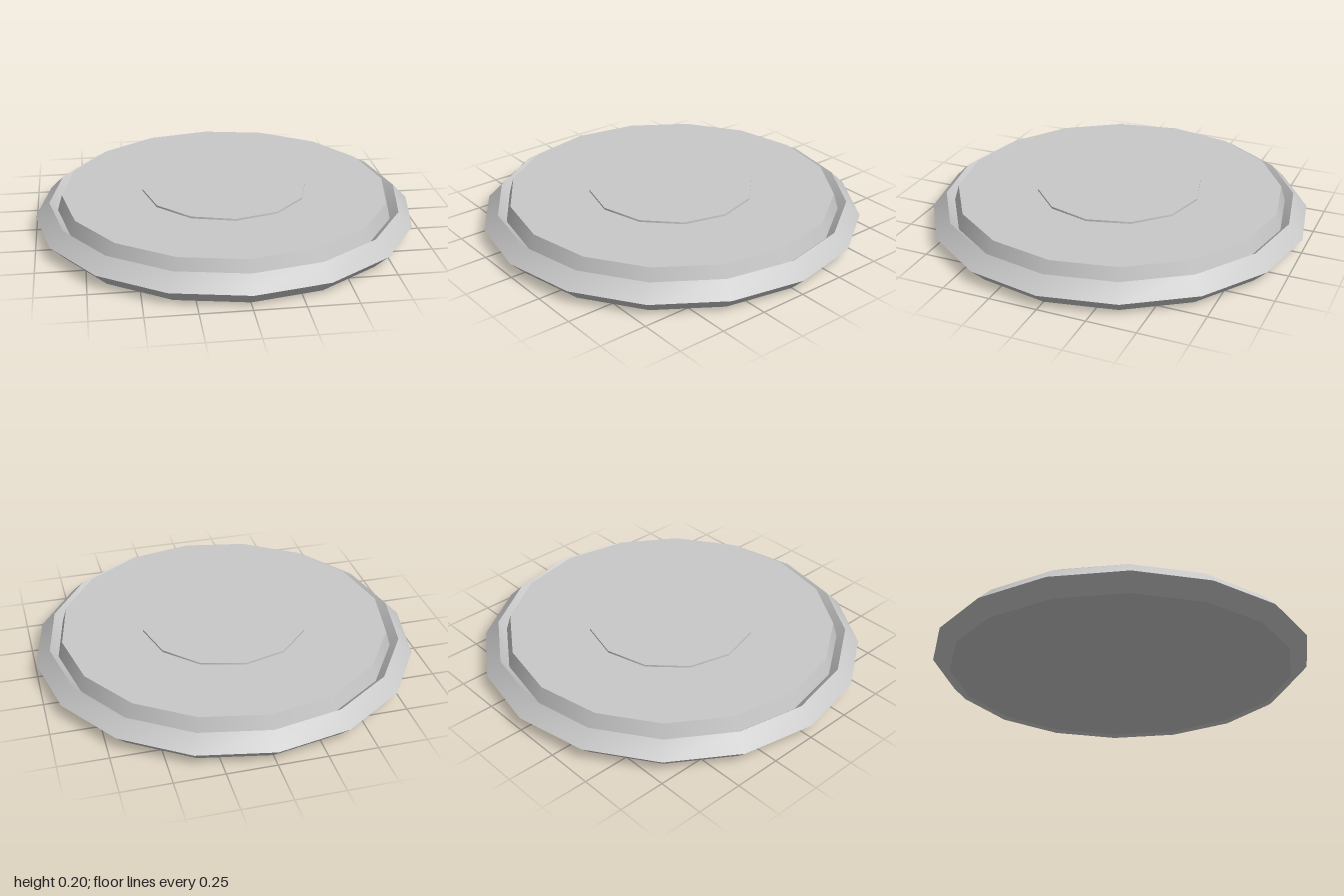
import * as THREE from 'three';
import { toCreasedNormals } from 'three/addons/utils/BufferGeometryUtils.js';

export function createModel() {
  const group = new THREE.Group();
  const grey = new THREE.MeshStandardMaterial({ color: 0xc8c8c8 });
  grey.name = 'light grey';

  function add(name, geometry, y) {
    const mesh = new THREE.Mesh(geometry, grey);
    mesh.name = name;
    mesh.position.y = y;
    group.add(mesh);
  }

  // Diamond-section rim, smooth around and sharp along its ridges
  const rim = new THREE.TorusGeometry(0.925, 0.075, 4, 16).rotateX(-Math.PI / 2);
  add('rim', toCreasedNormals(rim, Math.PI / 4), 0.075);

  // Tapered plate, slightly recessed underneath the rim
  const bottom = 0.016, top = 0.19;
  add('plate', new THREE.CylinderGeometry(0.858, 0.91, top - bottom, 16), (top + bottom) / 2);

  // Thin raised disc in the middle
  add('centreDisc', new THREE.CylinderGeometry(0.435, 0.435, 0.02, 12), 0.19);

  return group;
}
